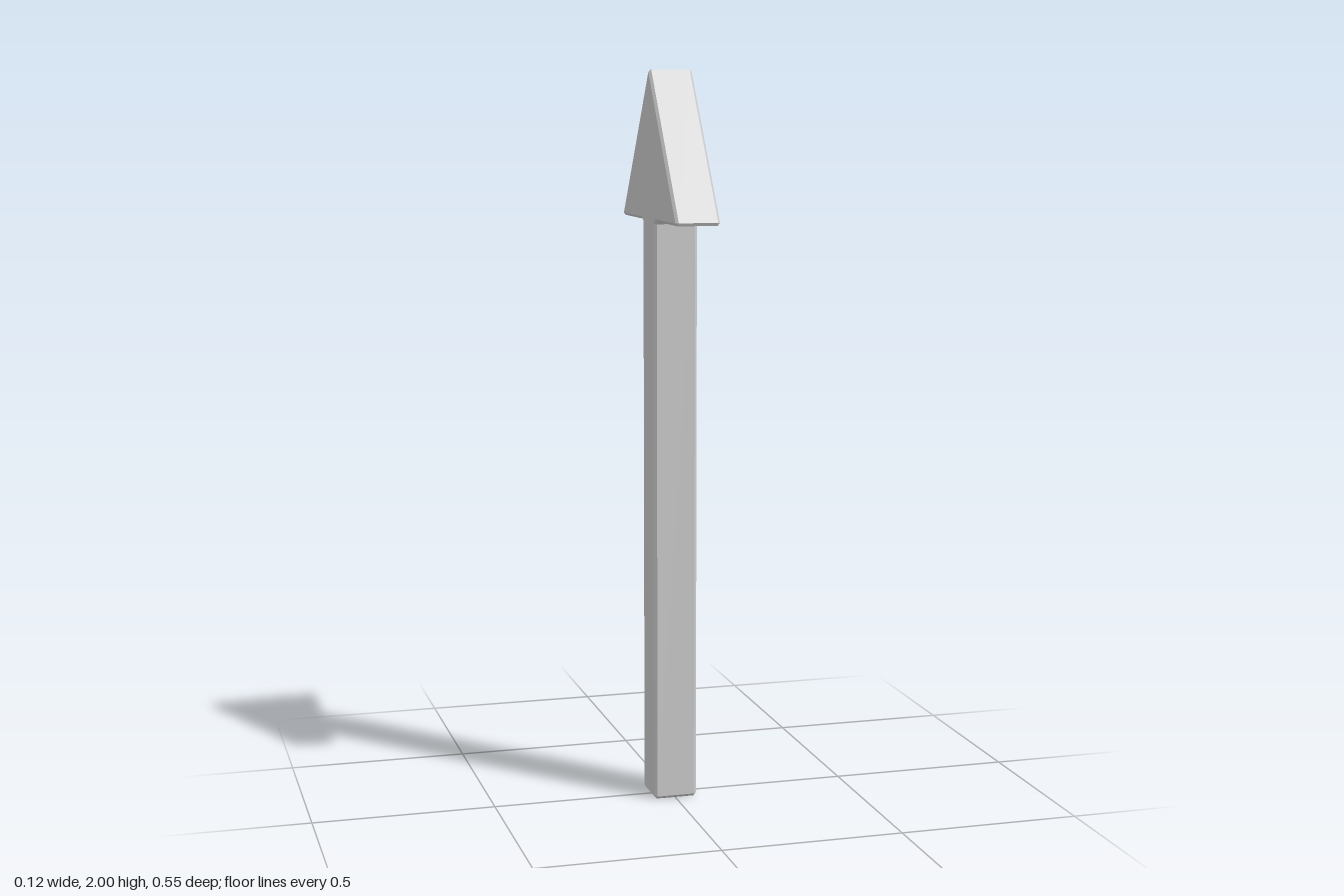
import * as THREE from 'three';

const BEVEL = 0.007;
const THICKNESS = 0.12;

// Half outline of the arrow (z, y), from the foot up to the tip, corners lightly clipped
const HALF = [
  [0.052, 0], [0.06, 0.008],        // foot of the shaft
  [0.06, 1.593], [0.067, 1.6],      // inner corner under the head
  [0.270, 1.6], [0.274, 1.608],     // barb
  [0.004, 2],                       // tip
];

export function createModel() {
  const group = new THREE.Group();
  group.name = 'arrowModel';

  // Mirror the half outline into a closed arrow
  const mirrored = HALF.map(([z, y]) => [-z, y]).reverse();
  const outline = [...HALF, ...mirrored].map(([z, y]) => new THREE.Vector2(z, y));

  // Extrude with chamfered faces, then turn so the flat sides face +x and -x
  const geometry = new THREE.ExtrudeGeometry(new THREE.Shape(outline), {
    depth: THICKNESS - 2 * BEVEL,
    bevelEnabled: true,
    bevelThickness: BEVEL,
    bevelSize: BEVEL,
    bevelOffset: -BEVEL,
    bevelSegments: 1,
  });
  geometry.translate(0, 0, BEVEL - THICKNESS / 2);
  geometry.rotateY(-Math.PI / 2);

  const arrow = new THREE.Mesh(
    geometry,
    new THREE.MeshStandardMaterial({ color: 0xcccccc, flatShading: true }),
  );
  arrow.name = 'arrow';
  group.add(arrow);
  return group;
}
